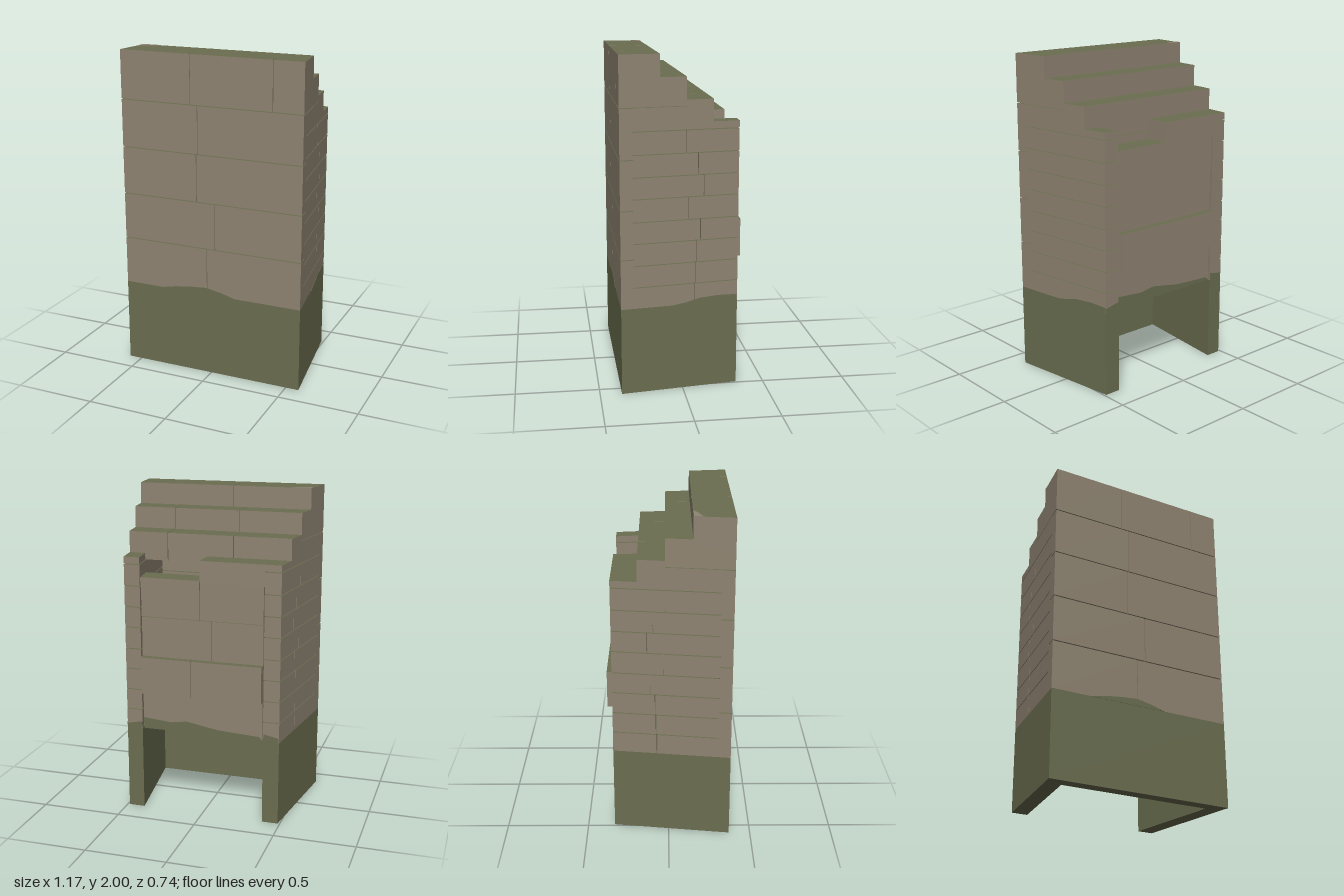
import * as THREE from 'three';

const stone = new THREE.MeshStandardMaterial({ color: 0x8f8472 });
stone.name = 'stone';
const moss = new THREE.MeshStandardMaterial({ color: 0x6b6e50 });
moss.name = 'moss';

const FRONT = 0.37, INNER = 0.295, BACK = -0.335, GAP = 0.004, WALL = 0.1;
const BASE = 0.525;

// half width of the tapering plan at depth z
const half = (z) => 0.487 + 0.136 * (z - BACK);
// joint that follows the taper, passing through x at depth z0
const joint = (x, z0) => (z) => x * half(z) / half(z0);
const rightEdge = (z) => half(z);
const leftEdge = (z) => -half(z);
const inner = (z) => half(z) - WALL;

// block whose side faces follow two edge functions; mossy on top
function block(name, xa, xb, y0, y1, z0, z1, mats) {
  const geo = new THREE.BoxGeometry(1, 1, 1);
  const p = geo.attributes.position;
  for (let i = 0; i < p.count; i++) {
    const z = z0 + (p.getZ(i) + 0.5) * (z1 - z0);
    const a = xa(z), b = xb(z);
    p.setXYZ(i, a + (p.getX(i) + 0.5) * (b - a), y0 + (p.getY(i) + 0.5) * (y1 - y0), z);
  }
  geo.computeVertexNormals();
  const mesh = new THREE.Mesh(geo, mats || [stone, stone, moss, stone, stone, stone]);
  mesh.name = name;
  return mesh;
}

// row of blocks split at joints
function course(group, name, edges, y0, y1, z0, z1) {
  for (let i = 0; i < edges.length - 1; i++) {
    const a = edges[i], b = edges[i + 1];
    const ga = i > 0 ? GAP / 2 : 0, gb = i < edges.length - 2 ? GAP / 2 : 0;
    group.add(block(name, (z) => a(z) + ga, (z) => b(z) - gb, y0, y1, z0, z1));
  }
}

// thin flat stain
function patch(name, points, material) {
  const shape = new THREE.Shape(points.map(([x, y]) => new THREE.Vector2(x, y)));
  const geo = new THREE.ExtrudeGeometry(shape, { depth: 0.003, bevelEnabled: false });
  const mesh = new THREE.Mesh(geo, material);
  mesh.name = name;
  return mesh;
}

export function createModel() {
  const model = new THREE.Group();
  model.name = 'steppedStoneWall';
  const part = (name) => {
    const g = new THREE.Group();
    g.name = name;
    model.add(g);
    return g;
  };

  // mossy base, open at the back
  const base = part('base');
  base.add(block('baseFront', leftEdge, rightEdge, 0, BASE, INNER, FRONT, moss));
  base.add(block('baseLeft', inner, rightEdge, 0, BASE, BACK, INNER, moss));
  base.add(block('baseRight', leftEdge, (z) => -inner(z), 0, BASE, BACK, INNER, moss));

  // large front blocks
  const front = part('frontWall');
  const frontY = [BASE, 0.825, 1.115, 1.41, 1.705, 2];
  const frontJoints = [[-0.025], [0.03], [-0.09], [-0.08], [-0.125, 0.395]];
  frontJoints.forEach((js, i) => {
    const edges = [leftEdge, ...js.map((x) => joint(x, FRONT)), rightEdge];
    const top = frontY[i + 1] - (i < 4 ? 0.006 : 0);
    course(front, 'frontBlock', edges, frontY[i], top, INNER, FRONT);
  });

  // small side blocks, mirrored
  const sides = part('sideWalls');
  const sideY = [BASE, 0.655, 0.785, 0.917, 1.045, 1.18, 1.307, 1.437, 1.57];
  const sideZ = [-0.07, -0.075, -0.08, -0.105, -0.03, -0.125, -0.09, -0.02];
  const pair = (y0, y1, z0, z1) => {
    sides.add(block('leftSideBlock', inner, rightEdge, y0, y1, z0, z1));
    sides.add(block('rightSideBlock', leftEdge, (z) => -inner(z), y0, y1, z0, z1));
  };
  sideZ.forEach((zj, i) => {
    pair(sideY[i], sideY[i + 1] - 0.006, zj + GAP / 2, INNER);
    pair(sideY[i], sideY[i + 1] - 0.006, BACK, zj - GAP / 2);
  });
  pair(1.57, 1.61, BACK, -0.18);
  pair(1.57, 1.701, -0.02, INNER);
  pair(1.705, 1.83, 0.135, INNER);

  // descending steps
  const steps = part('steps');
  [
    [1.83, 2, 0.135, INNER, [-0.06]],
    [1.705, 1.87, -0.02, 0.135, [-0.145, 0.267]],
    [1.57, 1.74, -0.18, -0.02, [-0.153, 0.26]],
  ].forEach(([y0, y1, z0, z1, js]) => {
    const edges = [leftEdge, ...js.map((x) => joint(x, z0)), rightEdge];
    course(steps, 'stepBlock', edges, y0, y1, z0, z1);
  });

  // lowest step: one half capped, the other sunken
  steps.add(block('lowestStep', (z) => -inner(z), () => 0.01, 1.48, 1.61, BACK, -0.18));
  steps.add(block('sunkenStep', () => 0.012, (z) => inner(z) - GAP, 1.43, 1.49, BACK, -0.18));

  // back panels between the side walls
  const back = part('backWall');
  const edge = inner(BACK) - 0.006;
  [
    [0.53, 0.765, -0.325, []],
    [0.77, 1.0, -0.37, [0.06]],
    [1.0, 1.245, -0.325, [-0.06]],
    [1.25, 1.48, -0.33, [0.01]],
  ].forEach(([y0, y1, z, js]) => {
    const edges = [-edge, ...js, edge].map((x) => () => x);
    course(back, 'backPanel', edges, y0, y1, z, -0.26);
  });

  // moss creeping above the base
  const stains = part('stains');
  const frontMoss = patch('frontMoss', [[-0.33, BASE], [0.16, BASE], [0.07, 0.55], [-0.03, 0.568],
    [-0.13, 0.56], [-0.24, 0.545]], moss);
  frontMoss.position.z = FRONT - 0.001;
  stains.add(frontMoss);

  const sideMoss = patch('sideMoss', [[-0.06, BASE], [0.334, BASE], [0.334, 0.562], [0.22, 0.566],
    [0.1, 0.558], [0.02, 0.538]], moss);
  sideMoss.rotation.y = Math.PI / 2 + Math.atan(0.136);
  sideMoss.position.set(half(0) - 0.001, 0, 0);
  stains.add(sideMoss);

  const backMoss = patch('backMoss', [[-0.38, 0.53], [0.38, 0.53], [0.36, 0.55], [0.1, 0.565],
    [-0.1, 0.6], [-0.2, 0.585], [-0.38, 0.6]], moss);
  backMoss.rotation.y = Math.PI;
  backMoss.position.z = -0.324;
  stains.add(backMoss);
  [-1, 1].forEach((s) => {
    const a = s * 0.39, b = s * 0.485;
    const pts = [[-a, BASE], [-b, BASE], [-b, 0.555], [-a, 0.575]];
    const m = patch('backCornerMoss', s < 0 ? pts : pts.slice().reverse(), moss);
    m.rotation.y = Math.PI;
    m.position.z = BACK + 0.001;
    stains.add(m);
  });

  // bare corner on the top step
  const bare = patch('bareCorner', [[-0.552, -0.137], [-0.432, -0.137], [-0.47, -0.16], [-0.557, -0.19]], stone);
  bare.rotation.x = -Math.PI / 2;
  bare.scale.y = 1;
  bare.position.y = 1.999;
  stains.add(bare);

  return model;
}
